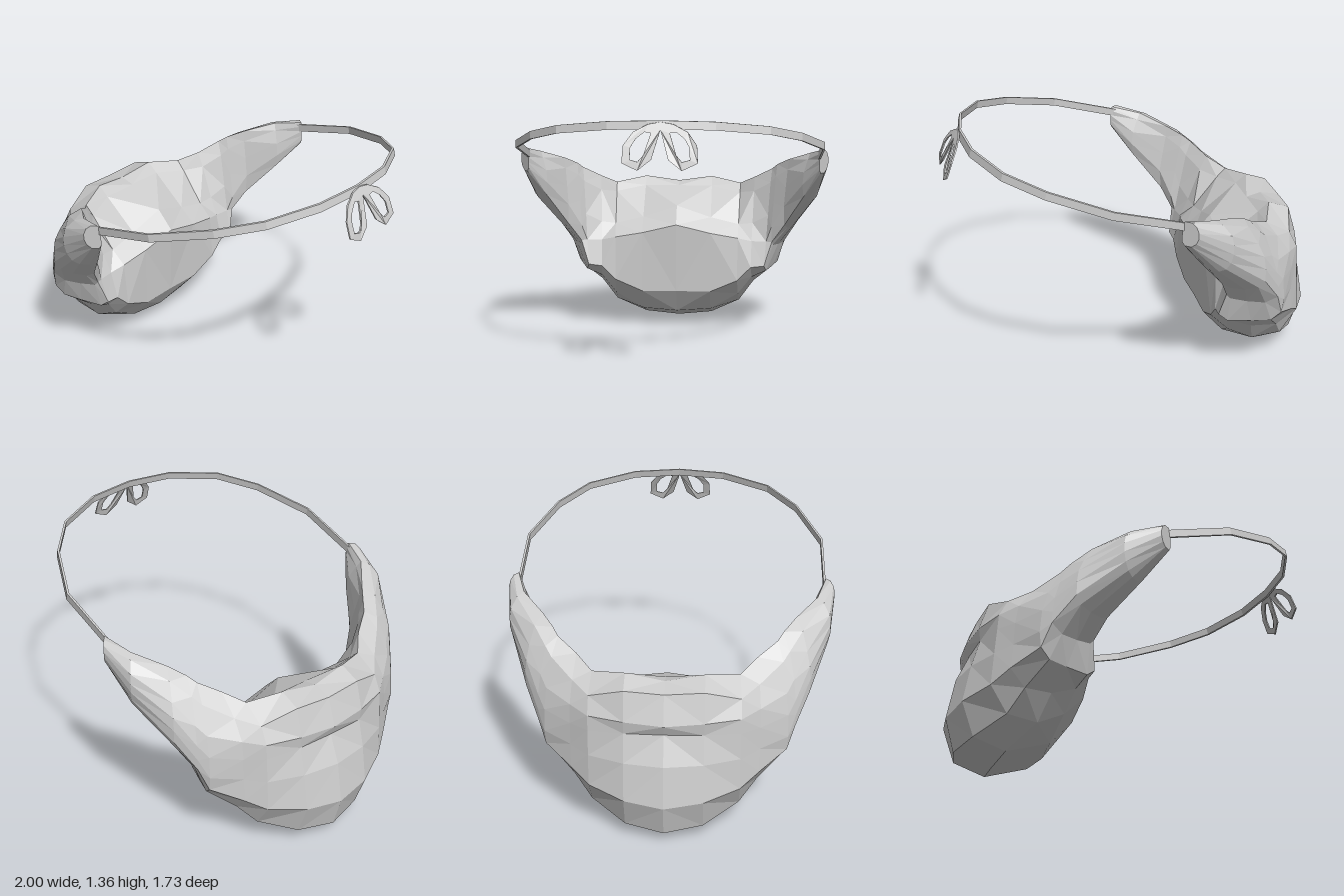
import * as THREE from 'three';

const material = new THREE.MeshStandardMaterial({ color: 0xcccccc, flatShading: true, side: THREE.DoubleSide });

// Skins a list of closed rings of [x, y, z] points and caps both ends.
// Each quad is split along its shorter diagonal.
function loft(rings) {
  const n = rings[0].length, last = (rings.length - 1) * n, index = [];
  const points = rings.flat();
  const gap = (i, j) => Math.hypot(...points[i].map((v, k) => v - points[j][k]));
  for (let i = 0; i < rings.length - 1; i++) {
    for (let j = 0; j < n; j++) {
      const a = i * n + j, b = i * n + (j + 1) % n, c = a + n, d = b + n;
      if (gap(c, b) < gap(a, d)) index.push(a, c, b, b, c, d);
      else index.push(a, c, d, a, d, b);
    }
  }
  for (let j = 1; j < n - 1; j++) {
    index.push(0, j, j + 1, last, last + j + 1, last + j);
  }
  const geometry = new THREE.BufferGeometry();
  geometry.setAttribute('position', new THREE.Float32BufferAttribute(points.flat(), 3));
  geometry.setIndex(index);
  const flat = geometry.toNonIndexed();
  flat.computeVertexNormals();
  return flat;
}

function addMesh(group, name, geometry) {
  const mesh = new THREE.Mesh(geometry, material);
  mesh.name = name;
  group.add(mesh);
  return mesh;
}

// Half of the beard as x, y cross-sections. Each ring runs from the crest over
// the lip shelf, down the inside, under the chin and up the outside; z leans
// with x by "lean".
const chinSections = [
  { z: 0, x0: 0, lean: 0, p: [-.76, .84, -.68, .82, -.47, .73, -.375, .63, -.39, .23, -.48, .09, -.75, 0,
    -.95, .06, -1, .24, -.96, .46, -.895, .61, -.92, .67, -.865, .82] },
  { z: .2, x0: 0, lean: 0, p: [-.74, .87, -.68, .82, -.48, .66, -.385, .58, -.385, .23, -.5, .1, -.73, .025,
    -.9, .08, -.965, .26, -.93, .46, -.89, .61, -.9, .68, -.855, .83] },
  { z: .365, x0: -.5, lean: -.05, p: [-.67, .84, -.62, .79, -.48, .62, -.4, .55, -.38, .3, -.48, .2, -.62, .13,
    -.78, .15, -.87, .29, -.86, .46, -.85, .6, -.845, .68, -.8, .77] },
  { z: .45, x0: -.5, lean: -.1, p: [-.58, .89, -.54, .81, -.47, .63, -.42, .53, -.38, .38, -.45, .31, -.58, .26,
    -.72, .26, -.8, .35, -.79, .48, -.785, .6, -.77, .7, -.7, .8] },
];
const sideburnSections = [
  { z: .53, x0: -.42, lean: -.33, p: [-.51, .95, -.48, .87, -.44, .68, -.41, .53, -.375, .39, -.42, .355,
    -.54, .36, -.64, .37, -.69, .42, -.7, .5, -.69, .62, -.66, .73, -.59, .87] },
  { z: .56, x0: -.4, lean: -.4, p: [-.47, .98, -.45, .91, -.42, .76, -.39, .62, -.4, .53, -.42, .51,
    -.5, .5, -.59, .5, -.65, .54, -.65, .6, -.64, .68, -.61, .78, -.55, .91] },
  { z: .63, x0: -.35, lean: -.5, p: [-.39, 1.02, -.38, .96, -.36, .86, -.34, .75, -.35, .64, -.39, .62,
    -.46, .62, -.52, .64, -.55, .68, -.55, .75, -.54, .82, -.51, .89, -.46, .98] },
  { z: .73, x0: -.2, lean: -.75, p: [-.25, 1.075, -.23, 1.04, -.2, .97, -.19, .9, -.2, .83, -.24, .8,
    -.28, .8, -.31, .82, -.33, .86, -.34, .91, -.34, .96, -.33, 1.01, -.29, 1.06] },
  { z: .81, x0: -.08, lean: -.75, p: [-.09, 1.11, -.08, 1.09, -.08, 1.06, -.08, 1.03, -.08, 1, -.09, .98,
    -.1, .98, -.12, .98, -.14, 1, -.15, 1.03, -.15, 1.06, -.14, 1.09, -.12, 1.11] },
];

function sectionRing({ z, x0, lean, p }, side) {
  const ring = [];
  for (let i = 0; i < p.length; i += 2) ring.push([p[i], p[i + 1], side * (z + lean * (p[i] - x0))]);
  return ring;
}

function beardGeometry() {
  const half = [...chinSections, ...sideburnSections];
  const mirrored = half.slice(1).reverse().map(s => sectionRing(s, -1));
  return loft([...mirrored, ...half.map(s => sectionRing(s, 1))]);
}

// Flat band climbing backwards around the head from one sideburn to the other.
function strapGeometry() {
  const half = [[.895, 0], [.865, .26], [.745, .52], [.56, .68], [.26, .81], [-.11, .81]];
  const path = [...half.slice(1).reverse().map(([x, z]) => [x, -z]), ...half];
  return loft(path.map(([x, z]) => {
    const r = Math.hypot(x, z), y = 1.075 + .265 * (x + .11);
    const corner = (out, up) => [x + out * x / r - up * .25, y + up, z + out * z / r];
    return [corner(.006, .02), corner(.006, -.02), corner(-.006, -.02), corner(-.006, .02)];
  }));
}

// One hanging ribbon loop, curving away from the strap as it falls.
function bowLoopGeometry(side) {
  const points = list => list.map(([u, y]) => new THREE.Vector2(u * side, y));
  const shape = new THREE.Shape(points([[0, 1.355], [.06, 1.345], [.13, 1.31], [.175, 1.25],
    [.18, 1.17], [.105, 1.135], [.04, 1.185], [0, 1.32]]));
  shape.holes.push(new THREE.Path(points([[.045, 1.305], [.075, 1.31], [.115, 1.28], [.14, 1.24],
    [.142, 1.185], [.105, 1.175], [.078, 1.205]])));
  const geometry = new THREE.ExtrudeGeometry(shape, { depth: .008, bevelEnabled: false });
  geometry.rotateY(Math.PI / 2);
  const pos = geometry.attributes.position;
  for (let i = 0; i < pos.count; i++) {
    const drop = 1.355 - pos.getY(i);
    pos.setX(i, pos.getX(i) + .893 + .7 * drop - 1.1 * drop * drop);
  }
  geometry.computeVertexNormals();
  return geometry;
}

export function createModel() {
  const model = new THREE.Group();
  model.name = 'strapOnBeard';
  addMesh(model, 'beard', beardGeometry());
  addMesh(model, 'strap', strapGeometry());

  const bow = new THREE.Group();
  bow.name = 'bow';
  addMesh(bow, 'bowLoopFront', bowLoopGeometry(-1));
  addMesh(bow, 'bowLoopBack', bowLoopGeometry(1));
  model.add(bow);
  return model;
}
